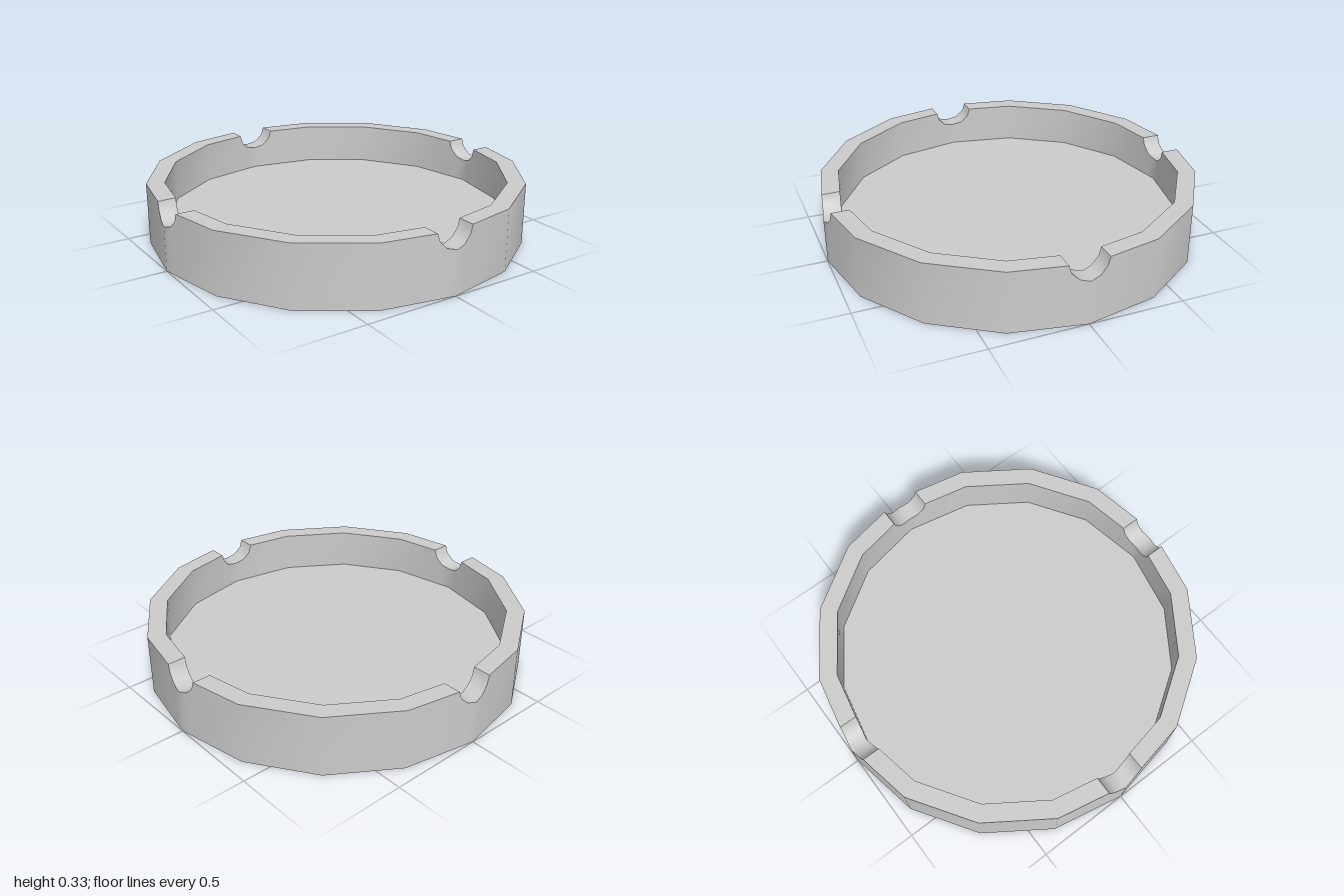
import * as THREE from 'three';
import { toCreasedNormals } from 'three/addons/utils/BufferGeometryUtils.js';

const SIDES = 16, OUTER = 1, INNER = 0.905, HEIGHT = 0.33, FLOOR = 0.115;
const STEP = (Math.PI * 2) / SIDES;

// Half profile of a rest notch: [offset from its middle, height]
const NOTCH = [[0, 0.235], [0.053, 0.249], [0.091, 0.287], [0.104, HEIGHT]];

// Cross-section from the base centre, over the rim, to the floor centre
function section(turn, outer, inner, top) {
  const place = ([x, z], y) => new THREE.Vector3(x, y, z).applyAxisAngle(new THREE.Vector3(0, 1, 0), turn);
  return [
    place([0, 0], 0), place(outer, 0), place(outer, top),
    place(inner, top), place(inner, FLOOR), place([0, 0], FLOOR),
  ];
}

function trayGeometry() {
  const sections = [];
  for (let quarter = 0; quarter < 4; quarter++) {
    const turn = (quarter * Math.PI) / 2;
    // notch: a straight channel through the wall, centred on a corner
    const offsets = [...NOTCH.slice(1).reverse().map(([t, y]) => [-t, y]), ...NOTCH];
    for (const [t, y] of offsets) {
      const drop = Math.abs(t) * Math.tan(STEP / 2);
      sections.push(section(turn, [t, OUTER - drop], [t, INNER - drop], y));
    }
    // plain corners up to the next notch
    for (let i = 1; i < SIDES / 4; i++) {
      const at = (r) => [r * Math.sin(i * STEP), r * Math.cos(i * STEP)];
      sections.push(section(turn, at(OUTER), at(INNER), HEIGHT));
    }
  }

  // join neighbouring sections, closing to a point at both centres
  const points = [];
  sections.forEach((a, i) => {
    const b = sections[(i + 1) % sections.length];
    for (let k = 0; k < a.length - 1; k++) {
      if (k > 0) points.push(a[k], b[k], b[k + 1]);
      if (k < a.length - 2) points.push(a[k], b[k + 1], a[k + 1]);
    }
  });
  return toCreasedNormals(new THREE.BufferGeometry().setFromPoints(points), 0.6);
}

export function createModel() {
  const group = new THREE.Group();
  group.name = 'ashtray';
  const tray = new THREE.Mesh(trayGeometry(), new THREE.MeshStandardMaterial({ color: 0xcccccc }));
  tray.name = 'notchedTray';
  group.add(tray);
  return group;
}
